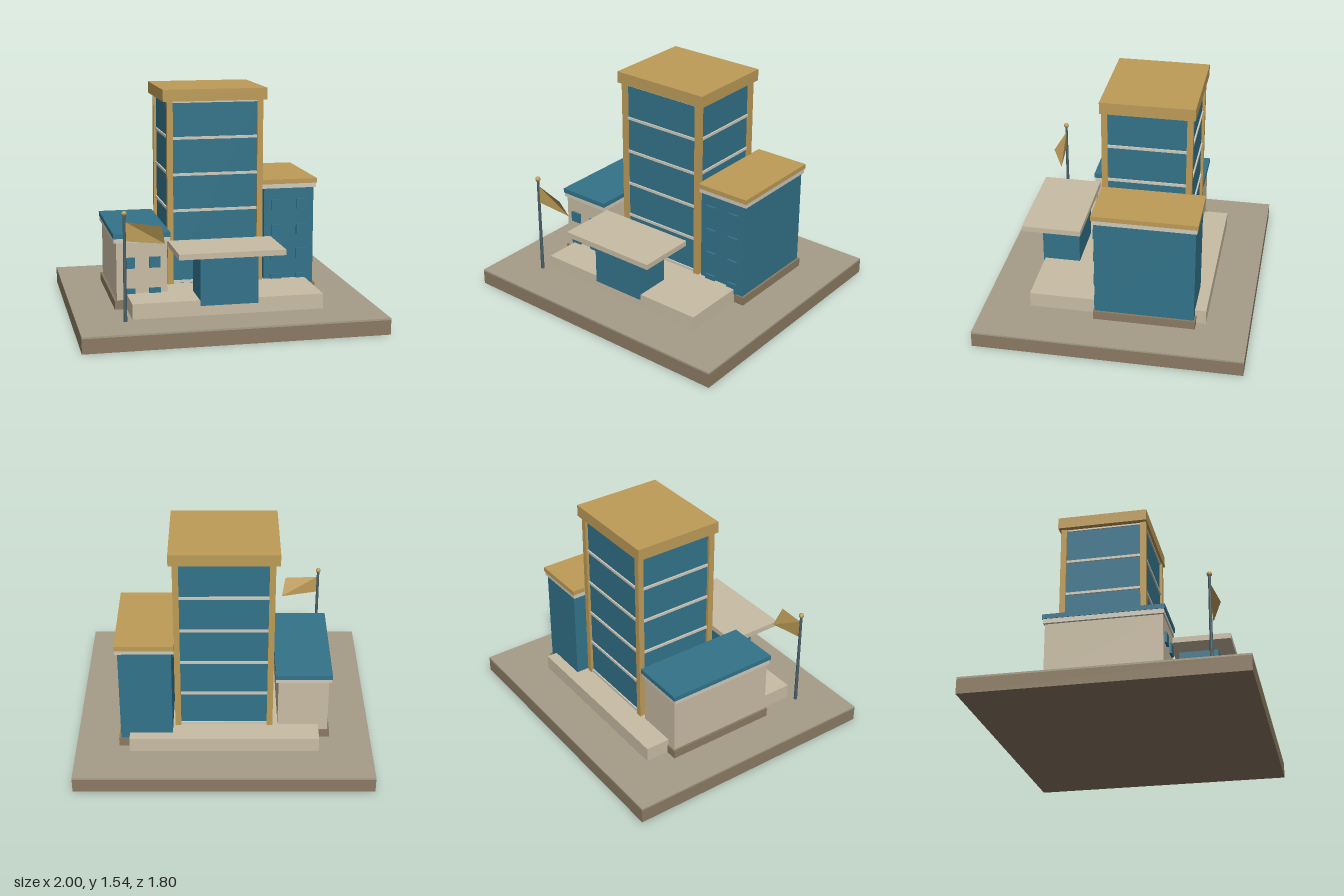
import * as THREE from 'three';

const mat = (color, extra = {}) => new THREE.MeshStandardMaterial({ color, flatShading: true, ...extra });
const M = {
  glass: mat(0x33738a), gold: mat(0xbd9c58), stone: mat(0xc8bca4), trim: mat(0xcfcabb),
  brown: mat(0x8b7a62), paving: mat(0xa69d87), steel: mat(0x4a6068),
  flag: mat(0xbd9c58, { side: THREE.DoubleSide }),
};

// Box given by its extents along each axis
function box(parent, name, material, [x0, x1], [y0, y1], [z0, z1]) {
  const mesh = new THREE.Mesh(new THREE.BoxGeometry(x1 - x0, y1 - y0, z1 - z0), material);
  mesh.position.set((x0 + x1) / 2, (y0 + y1) / 2, (z0 + z1) / 2);
  mesh.name = name;
  parent.add(mesh);
  return mesh;
}

function group(parent, name) {
  const g = new THREE.Group();
  g.name = name;
  parent.add(g);
  return g;
}

// Side wing: plinth, body, two-layer roof and a grid of front windows
function wing(parent, name, o) {
  const g = group(parent, name);
  const [x0, x1] = o.x, [z0, z1] = o.z, top = o.top;
  box(g, 'plinth', M.brown, [x0 + 0.005, x1 - 0.005], [0.1, 0.17], [z0 + 0.005, z1 - 0.005]);
  box(g, 'body', o.body, [x0 + 0.02, x1 - 0.02], [0.17, top - 0.06], [z0 + 0.015, z1 - 0.015]);
  box(g, 'cornice', M.trim, [x0 + 0.003, x1 - 0.003], [top - 0.063, top - 0.03], [z0 + 0.007, z1 - 0.007]);
  box(g, 'roof', o.roof, o.x, [top - 0.032, top], o.z);
  for (const x of o.windowX)
    for (let i = 0; i < o.rows; i++) {
      const y = 0.21 + i * o.step;
      box(g, 'window', M.glass, [x - 0.038, x + 0.038], [y - 0.036, y + 0.036], [z1 - 0.03, z1]);
    }
}

export function createModel() {
  const model = new THREE.Group();
  model.name = 'officeBuilding';

  // Ground and podium
  box(model, 'groundSlab', M.brown, [-1, 1], [0, 0.098], [-0.9, 0.9]);
  box(model, 'paving', M.paving, [-1, 1], [0.098, 0.11], [-0.9, 0.9]);
  box(model, 'podium', M.stone, [-0.64, 0.635], [0.1, 0.212], [-0.61, 0.588]);

  // Tower
  const tower = group(model, 'tower');
  box(tower, 'towerGlass', M.glass, [-0.31, 0.31], [0.2, 1.46], [-0.435, 0.125]);
  for (let i = 0; i < 6; i++) {
    const y = 0.225 + i * 0.2465;
    box(tower, 'floorBand', M.trim, [-0.32, 0.32], [y - 0.009, y + 0.009], [-0.445, 0.135]);
  }
  for (const x of [-0.31, 0.31])
    for (const z of [-0.434, 0.125])
      box(tower, 'cornerColumn', M.gold, [x - 0.02, x + 0.02], [0.2, 1.47], [z - 0.02, z + 0.02]);
  box(tower, 'towerRoof', M.gold, [-0.358, 0.355], [1.46, 1.54], [-0.47, 0.153]);

  // Wings
  wing(model, 'leftWing', {
    x: [0.325, 0.715], z: [-0.55, 0.145], top: 0.91, body: M.glass, roof: M.gold,
    windowX: [0.432, 0.61], rows: 4, step: 0.175,
  });
  wing(model, 'rightWing', {
    x: [-0.725, -0.345], z: [-0.455, 0.34], top: 0.62, body: M.stone, roof: M.glass,
    windowX: [-0.62, -0.45], rows: 2, step: 0.21,
  });
  box(model, 'linkBridge', M.glass, [0.29, 0.36], [0.66, 0.79], [-0.29, -0.05]);

  // Entrance
  const entrance = group(model, 'entrance');
  box(entrance, 'lobby', M.glass, [-0.195, 0.19], [0.178, 0.52], [0.34, 0.6]);
  box(entrance, 'canopy', M.stone, [-0.355, 0.347], [0.515, 0.552], [0.298, 0.705]);

  // Flagpole
  const pole = group(model, 'flagpole');
  pole.position.set(-0.69, 0, 0.622);
  const shaft = new THREE.Mesh(new THREE.CylinderGeometry(0.009, 0.012, 0.71, 8), M.steel);
  shaft.name = 'shaft';
  shaft.position.y = 0.455;
  const ball = new THREE.Mesh(new THREE.SphereGeometry(0.018, 10, 8), M.gold);
  ball.name = 'finial';
  ball.position.y = 0.815;
  pole.add(shaft, ball);

  // Flag: two folded triangles
  const geo = new THREE.BufferGeometry();
  const a = [0.008, 0.76, 0], b = [0.008, 0.635, 0], c = [0.262, 0.605, -0.017], d = [0.235, 0.73, 0.038];
  geo.setAttribute('position', new THREE.Float32BufferAttribute([a, b, c, a, c, d].flat(), 3));
  geo.computeVertexNormals();
  const flag = new THREE.Mesh(geo, M.flag);
  flag.name = 'flag';
  pole.add(flag);

  return model;
}
